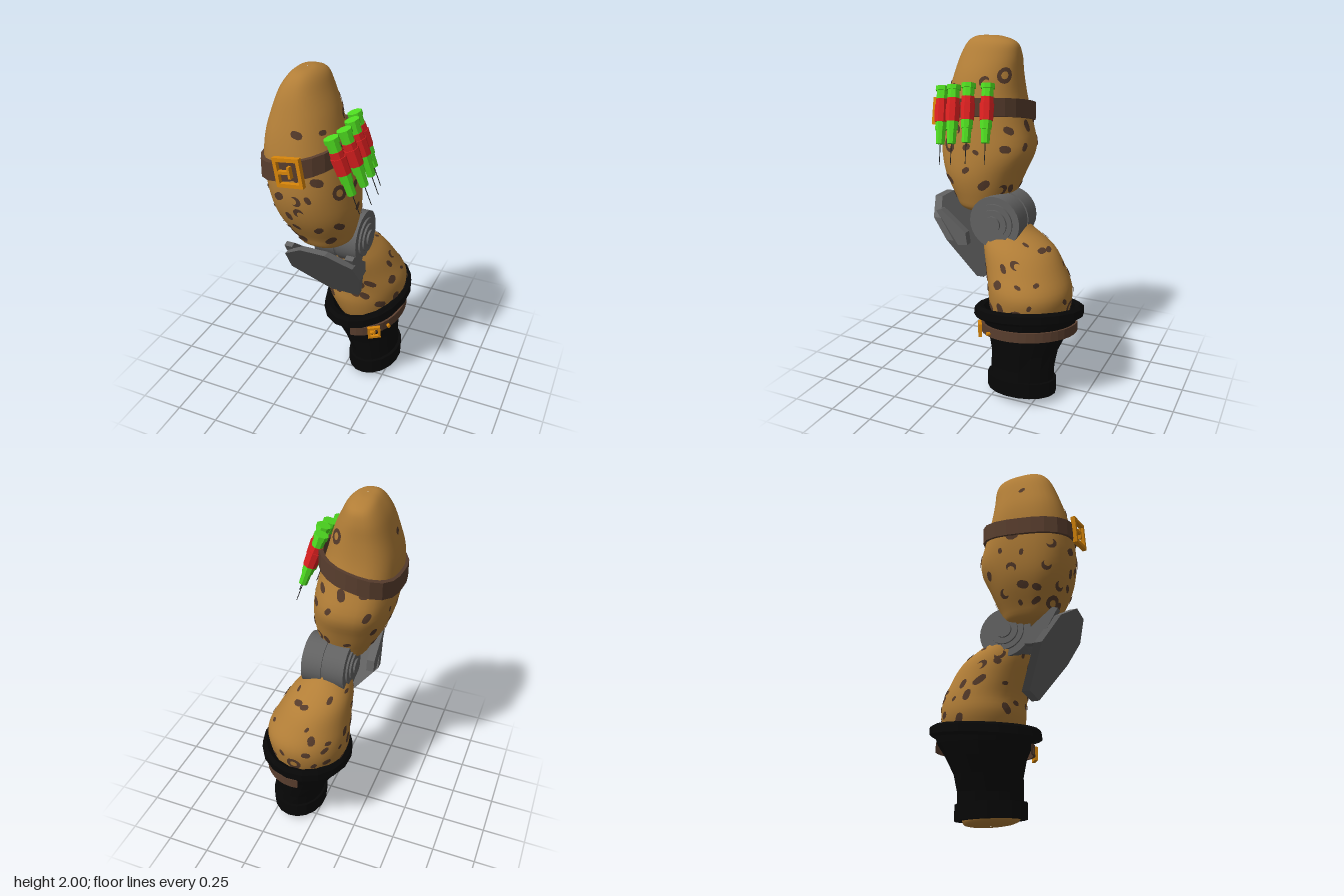
import * as THREE from 'three';
import { mergeGeometries } from 'three/addons/utils/BufferGeometryUtils.js';

const mat = (name, color, side = THREE.FrontSide) => {
  const m = new THREE.MeshStandardMaterial({ color, side });
  m.name = name;
  return m;
};

function add(parent, name, geo, material) {
  const m = new THREE.Mesh(geo, material);
  m.name = name;
  parent.add(m);
  return m;
}

// Unit oval direction; square > 0 fills out the corners on the -x side
function oval(a, square) {
  const k = Math.sin(a) < 0 ? 1 + square * Math.sin(2 * a) ** 2 : 1;
  return [Math.sin(a) * k, Math.cos(a) * k];
}

// Smooth surface through oval sections [y, x0, x1, z0, z1]; angle 0 faces front
function limb(secs, square = 0) {
  const V = (x, y, z) => new THREE.Vector3(x, y, z);
  const mid = new THREE.CatmullRomCurve3(secs.map(s => V((s[1] + s[2]) / 2, s[0], (s[3] + s[4]) / 2)), false, 'catmullrom', 0.5);
  const rad = new THREE.CatmullRomCurve3(secs.map(s => V((s[2] - s[1]) / 2, 0, (s[4] - s[3]) / 2)), false, 'catmullrom', 0.5);
  return (a, v) => {
    const c = mid.getPoint(v), r = rad.getPoint(v), [ox, oz] = oval(a, square);
    return c.add(V(r.x * ox, 0, r.z * oz));
  };
}

// Grid of a surface f(angle, v), wrapped around unless only an arc is given
function skin(f, cols, rows, a0 = 0, a1 = Math.PI * 2) {
  const closed = a1 - a0 > 6.28, n = closed ? cols : cols + 1, pos = [], idx = [];
  for (let j = 0; j <= rows; j++)
    for (let i = 0; i < n; i++) pos.push(...f(a0 + (a1 - a0) * i / cols, j / rows).toArray());
  for (let j = 0; j < rows; j++)
    for (let i = 0; i < cols; i++) {
      const a = j * n + i, b = j * n + (i + 1) % n;
      idx.push(a, b, b + n, a, b + n, a + n);
    }
  const g = new THREE.BufferGeometry();
  g.setAttribute('position', new THREE.Float32BufferAttribute(pos, 3));
  g.setIndex(idx);
  g.computeVertexNormals();
  return g;
}

function faceted(g) {
  const f = g.index ? g.toNonIndexed() : g;
  f.computeVertexNormals();
  return f;
}

// Hard-edged hoop through sections, leaning by tx and tz
function hoop(secs, cols, tx, tz, square = 0, a0 = 0, a1 = Math.PI * 2) {
  const f = (a, v) => {
    const [y, x0, x1, z0, z1] = secs[Math.round(v * (secs.length - 1))];
    const [ox, oz] = oval(a, square);
    const dx = (x1 - x0) / 2 * ox, dz = (z1 - z0) / 2 * oz;
    return new THREE.Vector3((x0 + x1) / 2 + dx, y + tx * dx + tz * dz, (z0 + z1) / 2 + dz);
  };
  return faceted(skin(f, cols, secs.length - 1, a0, a1));
}

// Closed rectangular band profile: outside up, over, inside down
function bandProfile(y, h, x0, x1, z0, z1, t) {
  const out = [x0, x1, z0, z1], inn = [x0 + t, x1 - t, z0 + t, z1 - t];
  return [[y - h / 2, ...out], [y + h / 2, ...out], [y + h / 2, ...inn], [y - h / 2, ...inn], [y - h / 2, ...out]];
}

// Blobs, crescents and rings laid just above a limb surface
function spots(f, v0, v1, rows, cols, seed) {
  const rnd = () => (seed = (seed * 16807) % 2147483647) / 2147483647;
  const geos = [];
  const E = 0.01;
  for (let j = 0; j < rows; j++)
    for (let i = 0; i < cols; i++) {
      const v = v0 + (v1 - v0) * (j + 0.2 + rnd() * 0.6) / rows;
      const a = (i + (j % 2) / 2 + rnd() * 0.7) / cols * Math.PI * 2;
      const pick = rnd(), size = rnd(), turn = rnd() * 6.28, wob = rnd() * 6.28;
      if (pick < 0.3) continue;
      const p = f(a, v);
      const du = f(a + E, v).sub(p), dv = f(a, v + E).sub(p);
      const nrm = du.clone().cross(dv).normalize();
      const su = E / du.length(), sv = E / dv.length();
      const curved = pick > 0.83, ring = pick > 0.97;
      const arc = curved && !ring ? 3.4 : Math.PI * 2;
      const r1 = curved ? 0.044 : 0.013 + 0.018 * size, r0 = curved ? 0.021 : 0;
      const patch = (t, w) => {
        const taper = curved && !ring ? Math.sin(Math.PI * Math.min(1, Math.max(0, (t - turn) / arc))) : 1;
        const outer = curved ? r0 + (r1 - r0) * taper : r1 * (1 + 0.25 * Math.sin(2 * t + wob));
        const r = outer + (r0 - outer) * w;
        return f(a + r * Math.cos(t) * su, v + r * Math.sin(t) * sv).addScaledVector(nrm, 0.004);
      };
      geos.push(skin(patch, 12, 2, turn, turn + arc));
    }
  return mergeGeometries(geos);
}

function shapeOf(pts) {
  return new THREE.Shape(pts.map(p => new THREE.Vector2(...p)));
}

// Square buckle with an open middle and a prong
function buckle(name, w, h, bar, depth, material) {
  const g = new THREE.Group();
  g.name = name;
  const box = (x, y) => [[-x, -y], [x, -y], [x, y], [-x, y]];
  const s = shapeOf(box(w / 2, h / 2));
  s.holes.push(shapeOf(box(w / 2 - bar, h / 2 - bar).reverse()));
  add(g, 'buckleFrame', new THREE.ExtrudeGeometry(s, { depth, bevelEnabled: false }), material);
  const prong = add(g, 'prong', new THREE.BoxGeometry(w * 0.5, bar * 0.8, depth), material);
  prong.position.set(-w * 0.2, 0, depth / 2);
  const keeper = add(g, 'keeper', new THREE.BoxGeometry(bar * 0.7, h * 0.4, depth), material);
  keeper.position.set(w * 0.04, 0, depth / 2);
  return g;
}

export function createModel() {
  const root = new THREE.Group();
  root.name = 'armouredLeg';
  const fur = mat('tanFur', 0xb27e37);
  const dark = mat('brownSpots', 0x543a2a, THREE.DoubleSide);
  const leather = mat('brownLeather', 0x593e2e, THREE.DoubleSide);
  const black = mat('blackBoot', 0x070707, THREE.DoubleSide);
  const steel = mat('greySteel', 0x626262);
  const gold = mat('goldBuckle', 0xd8860a);
  const green = mat('greenCap', 0x4edc20);
  const red = mat('redFluid', 0xdc2020);
  const needleMat = mat('darkNeedle', 0x202020);

  // Thigh
  const thigh = limb([
    [1.02, -0.04, -0.03, 0.13, 0.14], [1.05, -0.15, 0.09, 0.03, 0.29], [1.12, -0.2, 0.125, 0, 0.335],
    [1.25, -0.27, 0.15, -0.05, 0.405], [1.39, -0.305, 0.14, -0.1, 0.44], [1.55, -0.32, 0.11, -0.06, 0.435],
    [1.68, -0.315, 0.075, -0.025, 0.41], [1.8, -0.285, 0.04, -0.01, 0.375], [1.9, -0.25, -0.005, -0.005, 0.34],
    [1.965, -0.21, -0.04, 0.02, 0.3], [1.995, -0.175, -0.08, 0.1, 0.25], [2, -0.13, -0.125, 0.17, 0.18]], 0.11);
  add(root, 'thigh', skin(thigh, 36, 44), fur);
  add(root, 'thighSpots', spots(thigh, 0.15, 0.46, 5, 13, 77), dark);
  add(root, 'upperThighSpots', spots(thigh, 0.56, 0.67, 1, 8, 915), dark);

  // Calf
  const calf = limb([
    [1.04, 0.01, 0.02, 0.02, 0.03], [1.01, -0.09, 0.1, -0.08, 0.1], [0.95, -0.12, 0.125, -0.15, 0.13],
    [0.86, -0.15, 0.205, -0.28, 0.13], [0.75, -0.16, 0.265, -0.355, 0.1], [0.65, -0.165, 0.31, -0.4, 0.075],
    [0.55, -0.16, 0.3, -0.395, 0.07], [0.44, -0.11, 0.27, -0.36, 0.04], [0.36, -0.05, 0.23, -0.3, 0]].reverse());
  add(root, 'calf', skin(calf, 36, 32), fur);
  add(root, 'calfSpots', spots(calf, 0.2, 0.72, 5, 13, 4242), dark);

  // Foot end showing below the boot
  const foot = limb([[0.002, 0.14, 0.15, -0.15, -0.14], [0.008, 0.07, 0.2, -0.27, -0.03],
    [0.04, 0.03, 0.26, -0.31, 0.02], [0.15, 0.03, 0.26, -0.3, 0.01]]);
  add(root, 'footEnd', skin(foot, 16, 9), fur);

  // Boot shaft, bottom cuff and leaning top rim
  add(root, 'bootShaft', hoop([[0.1, 0.005, 0.285, -0.335, 0.04], [0.18, -0.005, 0.278, -0.335, 0.04],
    [0.27, -0.05, 0.28, -0.345, 0.045], [0.36, -0.1, 0.285, -0.385, 0.07], [0.43, -0.135, 0.295, -0.43, 0.105],
    [0.5, -0.15, 0.315, -0.455, 0.135]], 18, 0.12, -0.09), black);
  add(root, 'bootCuff', hoop(bandProfile(0.08, 0.09, -0.012, 0.302, -0.35, 0.058, 0.035), 18, 0.1, -0.02), black);
  add(root, 'bootRim', hoop([[0.465, -0.16, 0.325, -0.46, 0.145], [0.48, -0.175, 0.34, -0.48, 0.165],
    [0.525, -0.17, 0.335, -0.48, 0.16], [0.54, -0.15, 0.315, -0.455, 0.14], [0.53, -0.125, 0.29, -0.43, 0.11],
    [0.45, -0.12, 0.285, -0.42, 0.1]], 18, 0.16, -0.12), black);

  // Boot strap with buckle and stud
  add(root, 'bootStrap', hoop(bandProfile(0.415, 0.058, -0.145, 0.315, -0.445, 0.12, 0.012), 20, 0.07, -0.1, 0, -0.02, 3.35), leather);
  const small = buckle('bootBuckle', 0.075, 0.075, 0.014, 0.02, gold);
  small.position.set(0.215, 0.395, 0.075);
  small.rotation.set(0, 0.5, 0.08);
  root.add(small);
  const stud = add(root, 'strapStud', new THREE.CylinderGeometry(0.011, 0.011, 0.02, 8), gold);
  stud.position.set(0.28, 0.405, 0.003);
  stud.rotation.set(Math.PI / 2, 0, -0.85);

  // Thigh belt with buckle
  add(root, 'thighBelt', hoop(bandProfile(1.585, 0.1, -0.338, 0.122, -0.078, 0.455, 0.025), 24, 0.23, -0.1, 0.11), leather);
  const big = buckle('beltBuckle', 0.155, 0.155, 0.02, 0.025, gold);
  big.position.set(-0.095, 1.565, 0.456);
  big.rotation.set(0, -0.1, 0.17);
  root.add(big);

  // Injectors tucked under the belt
  const tops = [[0.085, 1.765, 0.085], [0.112, 1.765, 0.185], [0.11, 1.75, 0.275], [0.08, 1.735, 0.36]];
  const down = new THREE.Vector3(0.14, -0.42, -0.04).normalize();
  const pieces = [['plunger', 0.04, 0.04, 0, 0.025, green], ['collar', 0.033, 0.033, 0.025, 0.07, green],
    ['barrelTop', 0.036, 0.036, 0.07, 0.105, red], ['barrel', 0.041, 0.038, 0.105, 0.195, red],
    ['nozzle', 0.034, 0.032, 0.195, 0.24, green], ['tip', 0.027, 0.024, 0.24, 0.315, green],
    ['needle', 0.0025, 0.002, 0.315, 0.43, needleMat]];
  tops.forEach(p => {
    const g = new THREE.Group();
    g.name = 'injector';
    for (const [name, rt, rb, s0, s1, m] of pieces)
      add(g, name, faceted(new THREE.CylinderGeometry(rt, rb, s1 - s0, 8)), m).position.y = -(s0 + s1) / 2;
    g.position.set(...p);
    g.quaternion.setFromUnitVectors(new THREE.Vector3(0, -1, 0), down);
    root.add(g);
  });

  // Knee hinge: stepped drum lying along x
  const hinge = new THREE.Group();
  hinge.name = 'kneeHinge';
  for (const [r, len] of [[0.142, 0.2], [0.11, 0.272], [0.08, 0.294], [0.045, 0.316]])
    add(hinge, 'hingeDisc', new THREE.CylinderGeometry(r, r, len, 28), steel).rotation.z = Math.PI / 2;
  for (const s of [-1, 1]) {
    const drum = add(hinge, 'hingeDrum', new THREE.CylinderGeometry(0.15, 0.15, 0.118, 28), steel);
    drum.rotation.z = Math.PI / 2;
    drum.position.x = s * 0.066;
  }
  hinge.position.set(0.01, 1.01, 0.03);
  root.add(hinge);

  // Knee plate leaning forward at the top
  const plate = new THREE.ExtrudeGeometry(shapeOf([[-0.07, 1.105], [-0.19, 1.02], [-0.21, 0.87], [-0.03, 0.68],
    [0.14, 0.68], [0.21, 0.9], [0.2, 1.02], [0.07, 1.105]]), { depth: 0.045, bevelEnabled: false });
  const pp = plate.attributes.position;
  for (let i = 0; i < pp.count; i++) pp.setZ(i, pp.getZ(i) + 0.385 + 0.69 * (pp.getY(i) - 1.1));
  add(root, 'kneePlate', faceted(plate), steel);

  // Side arms behind the plate
  const arm = new THREE.ExtrudeGeometry(shapeOf([[0.36, 1.06], [0.33, 1.07], [0.18, 0.95], [0.17, 0.88], [0.24, 0.87],
    [0.28, 0.92]]), { depth: 0.045, bevelEnabled: false });
  arm.rotateY(-Math.PI / 2);
  for (const x of [0.195, -0.155]) add(root, 'kneePlateArm', arm, steel).position.x = x;

  return root;
}
